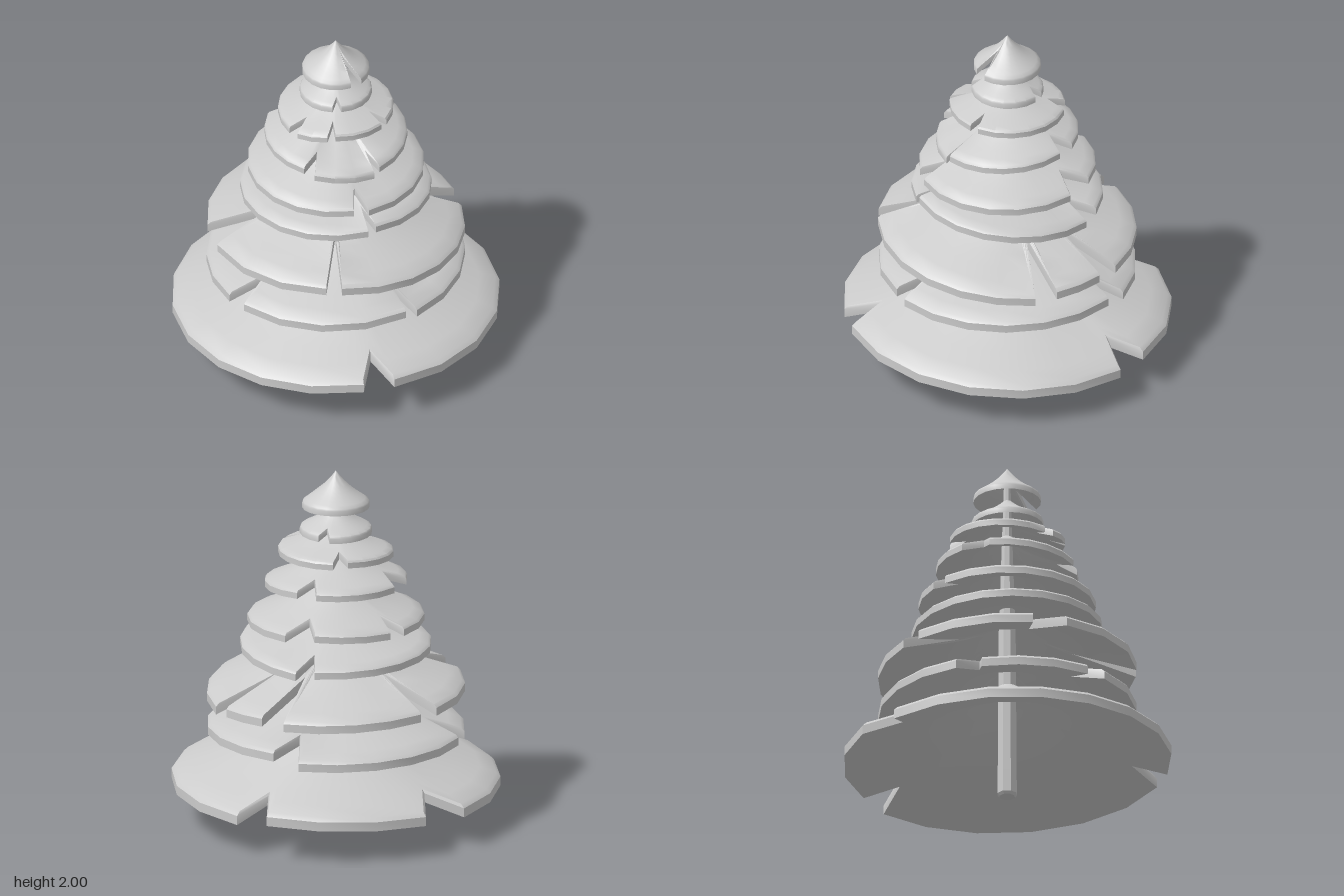
import * as THREE from 'three';
import { toCreasedNormals } from 'three/addons/utils/BufferGeometryUtils.js';

const RAD = Math.PI / 180;

// Tiers from bottom to top. Each bough is [start angle, end angle, rim height at start, at end];
// angles run from the front (0) towards the left side (90). Notch is the depth left in the V cuts.
const TIERS = [
  { R: 0.91, apex: 0.7, notch: 0.8, boughs: [[4, 118, 0.235, 0.175], [130, 188, 0.2, 0.18], [206, 353, 0.17, 0.235]] },
  { R: 0.715, apex: 0.84, notch: 0.72, boughs: [[22, 126, 0.5, 0.51], [138, 226, 0.47, 0.48], [238, 288, 0.47, 0.49], [298, 376, 0.5, 0.525]] },
  { R: 0.715, apex: 1.1, notch: 0.5, boughs: [[-14, 87, 0.77, 0.67], [97, 120, 0.69, 0.7], [131, 196, 0.69, 0.71], [206, 261, 0.72, 0.74], [277, 339, 0.75, 0.77]] },
  { R: 0.53, apex: 1.2, notch: 0.7, boughs: [[8, 130, 1.03, 0.93], [142, 363, 0.95, 1.01]] },
  { R: 0.49, apex: 1.42, notch: 0.72, boughs: [[5, 120, 1.125, 1.13], [141, 193, 1.15, 1.14], [205, 355, 1.14, 1.14]] },
  { R: 0.395, apex: 1.6, notch: 0.72, boughs: [[21, 122, 1.32, 1.36], [139, 210, 1.36, 1.36], [235, 317, 1.36, 1.34], [326, 376, 1.31, 1.29]] },
  { R: 0.32, apex: 1.7, notch: 0.7, boughs: [[-17, 35, 1.54, 1.53], [44, 152, 1.53, 1.52], [167, 290, 1.53, 1.5], [302, 335, 1.5, 1.53]] },
  { R: 0.2, apex: 1.82, notch: 0.72, boughs: [[-8, 126, 1.65, 1.64], [145, 338, 1.635, 1.65]] },
  { R: 0.187, apex: 2, notch: 0.35, boughs: [[32, 370, 1.79, 1.795]] },
];

// Rim outline of a tier as columns { angle, radius, rim height }
function rimColumns({ R, notch, boughs }) {
  const cols = [];
  boughs.forEach(([start, end, y0, y1], k) => {
    const n = Math.max(2, Math.round((end - start) / 18));
    for (let i = 0; i <= n; i++) {
      const u = i / n;
      cols.push({ a: start + (end - start) * u, r: R, y: y0 + (y1 - y0) * u });
    }
    // V-shaped notch before the next bough
    const isLast = k === boughs.length - 1;
    const next = boughs[isLast ? 0 : k + 1];
    cols.push({ a: (end + next[0] + (isLast ? 360 : 0)) / 2, r: R * notch, y: (y1 + next[2]) / 2 });
  });
  return cols;
}

// Height share along a tier: steep at the trunk, drooping at the rim
const slope = (s) => 0.86 * (1 - s) ** 1.7 + 0.14 * (1 - s ** 6);

// Closed shell: top slope, bevelled rim, underside
function tierGeometry(tier) {
  const { R, apex } = tier;
  const t = 0.026 + 0.043 * R;
  const steps = Array.from({ length: 9 }, (_, i) => i / 8);
  const rows = [
    ...steps.slice(0, -1).map((s) => [s, 0]),
    [0.975, 0], [1, -0.2],
    ...steps.slice().reverse().map((s) => [s, -1]),
  ];
  const cols = rimColumns(tier).map(({ a, r, y }) => rows.map(([s, drop]) => {
    const d = s * r;
    const top = y + t + (apex - y - t) * slope(d / R);
    return [d * Math.sin(a * RAD), top + drop * t, d * Math.cos(a * RAD)];
  }));

  const pos = [];
  const last = rows.length - 2;
  cols.forEach((c, i) => {
    const n = cols[(i + 1) % cols.length];
    for (let j = 0; j <= last; j++) {
      pos.push(...c[j], ...c[j + 1], ...(j < last ? n[j + 1] : n[j]));
      if (j > 0 && j < last) pos.push(...c[j], ...n[j + 1], ...n[j]);
    }
  });
  const g = new THREE.BufferGeometry();
  g.setAttribute('position', new THREE.Float32BufferAttribute(pos, 3));
  return toCreasedNormals(g, 35 * RAD);
}

export function createModel() {
  const tree = new THREE.Group();
  tree.name = 'pineTree';
  const material = new THREE.MeshStandardMaterial({ color: 0xcccccc });

  // Eight-sided trunk with a small chamfer at the foot
  const profile = [[0, 0], [0.045, 0], [0.057, 0.015], [0.05, 1], [0.02, 1.88], [0, 1.88]];
  const trunkGeometry = new THREE.LatheGeometry(profile.map((p) => new THREE.Vector2(...p)), 8);
  const trunk = new THREE.Mesh(toCreasedNormals(trunkGeometry, 30 * RAD), material);
  trunk.name = 'trunk';
  tree.add(trunk);

  // Stacked bough tiers
  const boughs = new THREE.Group();
  boughs.name = 'boughs';
  TIERS.forEach((tier, i) => {
    const mesh = new THREE.Mesh(tierGeometry(tier), material);
    mesh.name = `boughTier${i + 1}`;
    boughs.add(mesh);
  });
  tree.add(boughs);
  return tree;
}
